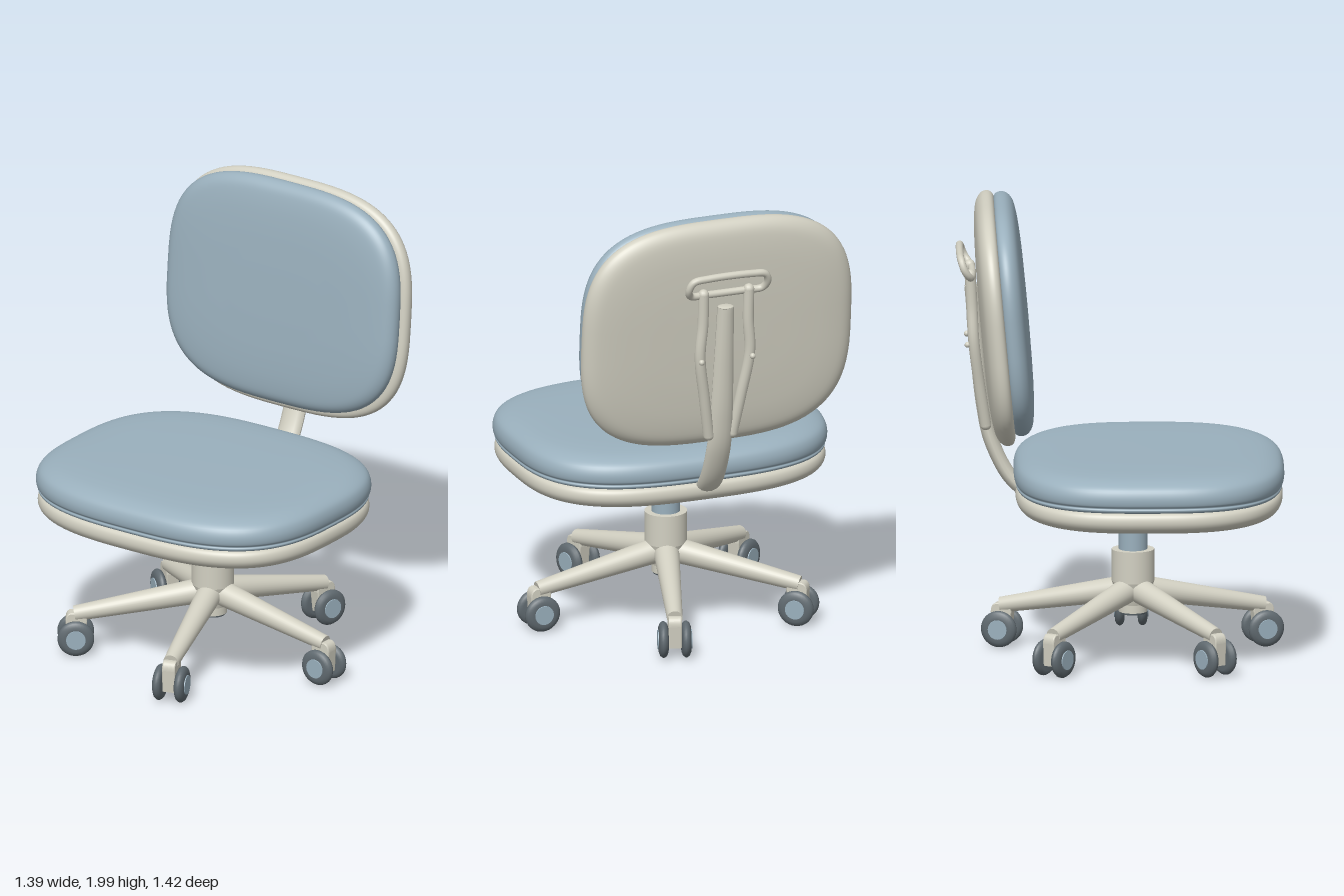
import * as THREE from 'three';

const blue = new THREE.MeshStandardMaterial({ color: 0x9ab0bd });
blue.name = 'blueGreyUpholstery';
const cream = new THREE.MeshStandardMaterial({ color: 0xd2d0c2 });
cream.name = 'creamPlastic';
const dark = new THREE.MeshStandardMaterial({ color: 0x606a70 });
dark.name = 'darkRubber';

const V = (x, y, z) => new THREE.Vector3(x, y, z);

function add(parent, name, geometry, material, x = 0, y = 0, z = 0) {
  const mesh = new THREE.Mesh(geometry, material);
  mesh.name = name;
  mesh.position.set(x, y, z);
  parent.add(mesh);
  return mesh;
}

// Rounded cushion: superellipse rings, profile = [inset, height] from bottom to top
function padGeometry(halfX, halfZ, power, profile) {
  const N = 96, pos = [], idx = [];
  const curve = new THREE.CatmullRomCurve3(profile.map(([i, h]) => V(i, h, 0)), false, 'centripetal');
  const rings = curve.getPoints(profile.length * 4);
  pos.push(0, profile[0][1], 0);
  for (const r of rings) {
    for (let i = 0; i < N; i++) {
      const a = (i / N) * Math.PI * 2, c = Math.cos(a), s = Math.sin(a);
      pos.push(
        Math.sign(c) * Math.abs(c) ** (2 / power) * (halfX - r.x), r.y,
        Math.sign(s) * Math.abs(s) ** (2 / power) * (halfZ - r.x));
    }
  }
  pos.push(0, profile[profile.length - 1][1], 0);
  const last = pos.length / 3 - 1, M = rings.length;
  for (let i = 0; i < N; i++) {
    const j = (i + 1) % N;
    idx.push(0, 1 + i, 1 + j);
    for (let r = 0; r < M - 1; r++) {
      const a = 1 + r * N + i, b = 1 + r * N + j;
      idx.push(a, a + N, b, b, a + N, b + N);
    }
    idx.push(last, 1 + (M - 1) * N + j, 1 + (M - 1) * N + i);
  }
  const g = new THREE.BufferGeometry();
  g.setAttribute('position', new THREE.Float32BufferAttribute(pos, 3));
  g.setIndex(idx);
  g.computeVertexNormals();
  return g;
}

function tube(points, radius, closed = false, segments = 48) {
  return new THREE.TubeGeometry(new THREE.CatmullRomCurve3(points, closed), segments, radius, 14, closed);
}

function cylinder(rTop, rBottom, h) {
  return new THREE.CylinderGeometry(rTop, rBottom, h, 32);
}

function buildSeat(parent) {
  add(parent, 'seatPan', padGeometry(0.685, 0.575, 2.9, [
    [0.45, 0.65], [0.2, 0.65], [0.07, 0.656], [0.02, 0.675], [0.002, 0.7],
    [0, 0.725], [0.008, 0.745], [0.03, 0.756], [0.4, 0.757]]), cream, 0, 0, 0.118);
  add(parent, 'seatCushion', padGeometry(0.692, 0.582, 2.9, [
    [0.4, 0.753], [0.035, 0.753], [0.012, 0.76], [0.007, 0.77], [0.01, 0.778], [0.002, 0.79],
    [0, 0.825], [0.015, 0.86], [0.06, 0.885], [0.14, 0.898], [0.3, 0.904], [0.5, 0.906]]), blue, 0, 0, 0.118);
}

function buildBackrest(parent) {
  const back = new THREE.Group();
  back.name = 'backrest';
  back.position.set(0, 1.48, -0.505);
  back.rotation.x = Math.PI / 2 - 0.09;
  parent.add(back);
  add(back, 'backShell', padGeometry(0.622, 0.52, 3.1, [
    [0.42, -0.103], [0.25, -0.1], [0.1, -0.09], [0.035, -0.075], [0.005, -0.05],
    [0, -0.025], [0.008, -0.008], [0.03, 0.002], [0.4, 0.003]]), cream);
  add(back, 'backCushion', padGeometry(0.605, 0.497, 3.1, [
    [0.4, -0.002], [0.03, -0.002], [0.008, 0.008], [0, 0.03], [0.006, 0.055],
    [0.03, 0.077], [0.08, 0.09], [0.2, 0.1], [0.4, 0.104]]), blue, 0, 0, -0.014);
}

function buildSupport(parent) {
  // Flattened bar that narrows towards its upper end
  const stem = tube([V(0, 0.675, -0.17), V(0, 0.695, -0.36), V(0, 0.77, -0.47), V(0, 0.94, -0.56),
    V(0, 1.1, -0.595), V(0, 1.35, -0.622), V(0, 1.62, -0.645)], 0.032);
  const p = stem.attributes.position;
  for (let i = 0; i < p.count; i++) {
    p.setX(i, p.getX(i) * THREE.MathUtils.clamp(1.75 - (p.getY(i) - 0.95) * 0.9, 1.1, 1.75));
  }
  stem.computeVertexNormals();
  add(parent, 'backStem', stem, cream);
  const cap = add(parent, 'stemCap', new THREE.SphereGeometry(0.032, 16, 10), cream, 0, 1.62, -0.645);
  cap.scale.set(1.12, 0.2, 1);

  // Paired bowed rods with small screws
  for (const s of [-1, 1]) {
    const path = [V(s * 0.055, 1.02, -0.585), V(s * 0.085, 1.2, -0.612), V(s * 0.115, 1.4, -0.637),
      V(s * 0.105, 1.55, -0.645), V(s * 0.105, 1.69, -0.652)];
    add(parent, 'backRod', tube(path, 0.024, false, 32), cream);
    for (const e of [path[0], path[4]]) {
      add(parent, 'rodEnd', new THREE.SphereGeometry(0.024, 14, 10), cream, e.x, e.y, e.z);
    }
    add(parent, 'rodScrew', new THREE.SphereGeometry(0.013, 12, 8), cream, s * 0.118, 1.385, -0.664);
  }

  // Tilted handle loop
  add(parent, 'handleLoop', tube([
    V(-0.1, 1.685, -0.645), V(0.1, 1.685, -0.645), V(0.165, 1.69, -0.655), V(0.182, 1.725, -0.678),
    V(0.165, 1.765, -0.692), V(0.1, 1.775, -0.696), V(-0.1, 1.775, -0.696), V(-0.165, 1.765, -0.692),
    V(-0.182, 1.725, -0.678), V(-0.165, 1.69, -0.655)], 0.016, true, 80), cream);
}

function buildCaster(parent) {
  const caster = new THREE.Group();
  caster.name = 'caster';
  caster.position.set(0.59, 0.08, 0);
  parent.add(caster);

  // Fork block with rounded shoulders
  const fork = new THREE.Shape();
  fork.moveTo(-0.035, -0.025);
  fork.lineTo(0.035, -0.025);
  fork.lineTo(0.04, 0.07);
  fork.quadraticCurveTo(0.04, 0.1, 0.02, 0.105);
  fork.lineTo(-0.03, 0.105);
  fork.quadraticCurveTo(-0.045, 0.1, -0.045, 0.07);
  add(caster, 'casterFork', new THREE.ExtrudeGeometry(fork,
    { depth: 0.046, bevelEnabled: true, bevelSize: 0.004, bevelThickness: 0.006, bevelSegments: 2 }),
  cream, 0, 0, -0.023);
  const axle = add(caster, 'axle', cylinder(0.015, 0.015, 0.09), dark);
  axle.rotation.x = Math.PI / 2;

  for (const s of [-1, 1]) {
    const wheel = new THREE.Group();
    wheel.name = 'wheel';
    wheel.position.z = s * 0.049;
    wheel.rotation.x = s * Math.PI / 2;
    caster.add(wheel);
    const profile = [[0, -0.02], [0.058, -0.02], [0.072, -0.014], [0.079, -0.004], [0.079, 0.004],
      [0.072, 0.014], [0.058, 0.02], [0.044, 0.021], [0, 0.021]].map(q => new THREE.Vector2(...q));
    add(wheel, 'tyre', new THREE.LatheGeometry(profile, 32), dark);
    add(wheel, 'hubcap', cylinder(0.042, 0.043, 0.006), blue, 0, 0.022, 0);
  }
}

function buildBase(parent) {
  const base = new THREE.Group();
  base.name = 'base';
  base.position.z = 0.05;
  parent.add(base);
  add(base, 'gasColumn', cylinder(0.062, 0.062, 0.24), blue, 0, 0.55, 0);
  add(base, 'hubCollar', cylinder(0.092, 0.092, 0.14), cream, 0, 0.392, 0);
  add(base, 'hubCone', cylinder(0.092, 0.062, 0.1), cream, 0, 0.272, 0);
  add(base, 'hubFoot', cylinder(0.062, 0.062, 0.04), cream, 0, 0.207, 0);
  add(base, 'footRing', cylinder(0.058, 0.055, 0.012), dark, 0, 0.184, 0);
  add(base, 'footDisc', cylinder(0.038, 0.038, 0.006), blue, 0, 0.177, 0);

  // Five tapered legs, each with a twin-wheel caster
  for (let i = 0; i < 5; i++) {
    const leg = new THREE.Group();
    leg.name = 'legWithCaster';
    leg.rotation.y = i * Math.PI * 2 / 5;
    base.add(leg);
    const a = V(0.03, 0.288, 0), b = V(0.595, 0.178, 0), dir = b.clone().sub(a);
    const beam = add(leg, 'leg', cylinder(0.034, 0.056, dir.length()), cream);
    beam.position.copy(a).add(b).multiplyScalar(0.5);
    beam.quaternion.setFromUnitVectors(V(0, 1, 0), dir.normalize());
    buildCaster(leg);
  }
}

export function createModel() {
  const chair = new THREE.Group();
  chair.name = 'officeChair';
  buildBase(chair);
  buildSeat(chair);
  buildBackrest(chair);
  buildSupport(chair);
  return chair;
}
